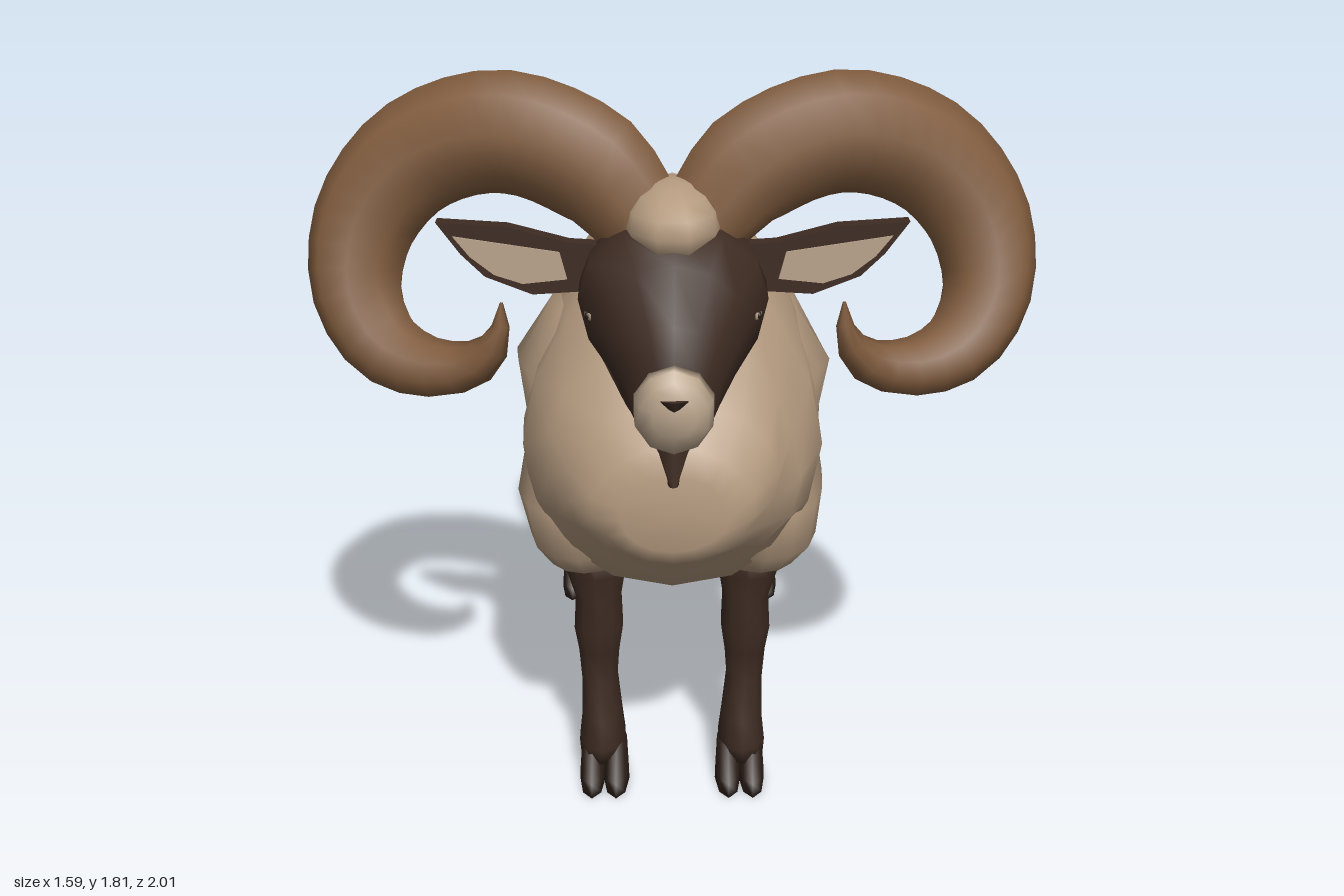
import * as THREE from 'three';

const mat = (name, color) => {
  const m = new THREE.MeshStandardMaterial({ color });
  m.name = name;
  return m;
};

// Closed skin over elliptical rings [x, y, z, halfX, half2, taper, slant], stacked along 'y' or 'z'.
function loft(rings, axis, n = 12, ripple = 0) {
  const pos = [], idx = [];
  rings.forEach(([x, y, z, a, b, t = 0, slant = 0], i) => {
    for (let j = 0; j < n; j++) {
      const ang = (j / n) * Math.PI * 2 + Math.PI / 2;
      const c = Math.cos(ang), s = Math.sin(ang);
      const k = 1 + ripple * Math.cos(ang * 4 + i * 2.1) * Math.abs(c);
      const px = x + a * c * (1 - t * s) * k;
      if (axis === 'z') pos.push(px, y + b * s, z + slant * s);
      else pos.push(px, y + slant * s, z - b * s * k);
    }
  });
  const last = (rings.length - 1) * n;
  for (let i = 0; i < rings.length - 1; i++) {
    for (let j = 0; j < n; j++) {
      const a = i * n + j, b = i * n + (j + 1) % n;
      idx.push(a, b, a + n, b, b + n, a + n);
    }
  }
  // end caps
  const c0 = pos.length / 3;
  pos.push(...rings[0].slice(0, 3), ...rings[rings.length - 1].slice(0, 3));
  for (let j = 0; j < n; j++) {
    const k = (j + 1) % n;
    idx.push(c0, k, j, c0 + 1, last + j, last + k);
  }
  const g = new THREE.BufferGeometry();
  g.setAttribute('position', new THREE.Float32BufferAttribute(pos, 3));
  g.setIndex(idx);
  g.computeVertexNormals();
  return g;
}

// Tube along points [x, y, z, radius], tapering with the radii.
function taperTube(points, segs, sides) {
  const curve = new THREE.CatmullRomCurve3(points.map(p => new THREE.Vector3(p[0], p[1], p[2])));
  const g = new THREE.TubeGeometry(curve, segs, 1, sides);
  const p = g.attributes.position, v = new THREE.Vector3();
  for (let i = 0; i <= segs; i++) {
    const u = i / segs, c = curve.getPointAt(u);
    const f = curve.getUtoTmapping(u) * (points.length - 1);
    const k = Math.min(Math.floor(f), points.length - 2);
    const r = THREE.MathUtils.lerp(points[k][3], points[k + 1][3], f - k);
    for (let j = 0; j <= sides; j++) {
      const q = i * (sides + 1) + j;
      v.fromBufferAttribute(p, q).sub(c).multiplyScalar(r).add(c);
      p.setXYZ(q, v.x, v.y, v.z);
    }
  }
  return g;
}

export function createModel() {
  const wool = mat('wool', 0xb59b80);
  const hide = mat('dark hide', 0x3d2b22);
  const hornMat = mat('horn', 0x7f5b3d);
  const hoofMat = mat('hoof', 0x30221b);
  const pale = mat('pale skin', 0xb9a48c);

  const model = new THREE.Group();
  const add = (name, geo, m) => {
    const mesh = new THREE.Mesh(geo, m);
    mesh.name = name;
    model.add(mesh);
    return mesh;
  };

  // Body and neck: z, top, bottom, half width, top taper
  const body = [
    [-0.8, 1.06, 0.87, 0.08, 0], [-0.76, 1.14, 0.79, 0.17, 0], [-0.68, 1.17, 0.72, 0.21, 0],
    [-0.57, 1.195, 0.66, 0.26, 0], [-0.45, 1.215, 0.62, 0.29, 0], [-0.3, 1.17, 0.59, 0.275, 0],
    [-0.17, 1.175, 0.555, 0.3, 0], [-0.05, 1.225, 0.545, 0.305, 0.05], [0.08, 1.31, 0.54, 0.285, 0.12],
    [0.2, 1.41, 0.56, 0.31, 0.22], [0.34, 1.52, 0.57, 0.34, 0.28], [0.46, 1.57, 0.575, 0.33, 0.28],
    [0.56, 1.48, 0.6, 0.32, 0.28], [0.63, 1.26, 0.67, 0.285, 0.12], [0.7, 1.12, 0.73, 0.235, 0],
    [0.755, 1.04, 0.76, 0.175, 0], [0.775, 0.98, 0.8, 0.12, 0],
  ].map(([z, t, b, w, k]) => [0, (t + b) / 2, z, w, (t - b) / 2, k]);
  add('body', loft(body, 'z', 18, 0.035), wool);

  // Tail
  add('tail', taperTube([
    [0, 1.06, -0.68, 0.09], [0, 1.03, -0.81, 0.09], [0, 0.975, -0.895, 0.11],
    [0, 0.87, -0.935, 0.078], [0, 0.77, -0.94, 0.01],
  ], 10, 10), wool);

  // Head, throat, muzzle and forehead tuft
  add('head', loft([
    [0, 1.38, 0.52, 0.15, 0.14, -0.1], [0, 1.35, 0.62, 0.195, 0.17, -0.2], [0, 1.315, 0.7, 0.195, 0.2, -0.25],
    [0, 1.275, 0.78, 0.145, 0.185, -0.25], [0, 1.225, 0.855, 0.105, 0.14, -0.1, 0.025],
    [0, 1.2, 0.905, 0.086, 0.107, 0, 0.042],
  ], 'z', 14), hide);
  add('throat', loft([
    [0, 0.96, 0.775, 0.01, 0.01], [0, 1.03, 0.715, 0.05, 0.055], [0, 1.12, 0.655, 0.11, 0.11],
    [0, 1.24, 0.62, 0.175, 0.13],
  ], 'y', 10), hide);
  add('muzzle', loft([
    [0, 1.2, 0.904, 0.086, 0.107, 0, 0.042], [0, 1.198, 0.935, 0.083, 0.1, 0, 0.022],
    [0, 1.198, 0.965, 0.072, 0.08, 0, 0.008], [0, 1.21, 0.988, 0.045, 0.045],
  ], 'z', 10), pale);
  const nose = add('nose', new THREE.ConeGeometry(1, 1, 6), hide);
  nose.scale.set(0.032, 0.03, 0.016);
  nose.rotation.z = Math.PI;
  nose.position.set(0, 1.232, 0.985);
  const tuft = add('foreheadTuft', new THREE.SphereGeometry(1, 10, 8), wool);
  tuft.scale.set(0.11, 0.092, 0.16);
  tuft.position.set(0, 1.505, 0.61);

  for (const s of [1, -1]) {
    const side = s > 0 ? 'left' : 'right';
    const mir = rings => rings.map(([x, ...rest]) => [s * x, ...rest]);

    // Curled horn
    add(side + 'Horn', taperTube(mir([
      [0.06, 1.49, 0.57, 0.1], [0.17, 1.61, 0.545, 0.13], [0.36, 1.675, 0.51, 0.133],
      [0.55, 1.615, 0.485, 0.127], [0.665, 1.48, 0.5, 0.117], [0.69, 1.33, 0.545, 0.1],
      [0.63, 1.22, 0.595, 0.085], [0.53, 1.182, 0.635, 0.068], [0.43, 1.2, 0.66, 0.052],
      [0.375, 1.26, 0.67, 0.03], [0.365, 1.34, 0.66, 0.003],
    ]), 28, 9), hornMat);

    // Ear with pale inside
    const outline = pts => new THREE.Shape(pts.map(([x, y]) => new THREE.Vector2(s * x, y)));
    const ear = new THREE.ExtrudeGeometry(outline([
      [0.14, 1.36], [0.3, 1.35], [0.4, 1.39], [0.45, 1.44], [0.5, 1.51], [0.35, 1.5], [0.22, 1.465], [0.14, 1.46],
    ]), { depth: 0.035, bevelEnabled: false });
    ear.translate(0, 0, 0.605);
    add(side + 'Ear', ear, hide);
    const inner = new THREE.ExtrudeGeometry(outline([
      [0.225, 1.385], [0.32, 1.375], [0.38, 1.395], [0.43, 1.435], [0.465, 1.48], [0.24, 1.445],
    ]), { depth: 0.005, bevelEnabled: false });
    inner.translate(0, 0, 0.639);
    add(side + 'EarInside', inner, pale);

    // Eye
    const eye = add(side + 'Eye', new THREE.SphereGeometry(1, 8, 6), pale);
    eye.scale.set(0.006, 0.011, 0.02);
    eye.position.set(s * 0.176, 1.335, 0.73);
    eye.rotation.y = -s * 0.5;
    const pupil = add(side + 'Pupil', new THREE.SphereGeometry(1, 8, 6), hoofMat);
    pupil.scale.set(0.006, 0.009, 0.01);
    pupil.position.set(s * 0.179, 1.335, 0.73);

    // Shoulder and thigh wool, with their tops sunk into the body
    add(side + 'Shoulder', loft(mir([
      [0.21, 0.6, 0.38, 0.1, 0.12], [0.22, 0.68, 0.4, 0.125, 0.19], [0.215, 0.79, 0.38, 0.152, 0.22],
      [0.2, 0.96, 0.38, 0.135, 0.2], [0.2, 1.12, 0.39, 0.165, 0.17], [0.14, 1.27, 0.42, 0.14, 0.14],
      [0.06, 1.4, 0.43, 0.1, 0.1],
    ]), 'y', 14, 0.04), wool);
    add(side + 'Thigh', loft(mir([
      [0.235, 0.56, -0.39, 0.06, 0.05, 0, -0.02], [0.225, 0.65, -0.43, 0.11, 0.14], [0.215, 0.8, -0.46, 0.135, 0.19],
      [0.2, 0.94, -0.47, 0.14, 0.19], [0.15, 1.07, -0.48, 0.13, 0.16], [0.06, 1.16, -0.48, 0.1, 0.1],
    ]), 'y', 14, 0.04), wool);

    // Legs
    add(side + 'FrontLeg', loft(mir([
      [0.18, 0.06, 0.44, 0.05, 0.06], [0.175, 0.1, 0.42, 0.06, 0.085], [0.175, 0.17, 0.42, 0.052, 0.07],
      [0.18, 0.27, 0.41, 0.046, 0.053], [0.18, 0.35, 0.412, 0.052, 0.052], [0.18, 0.42, 0.422, 0.062, 0.063],
      [0.18, 0.5, 0.405, 0.058, 0.068], [0.185, 0.57, 0.4, 0.075, 0.085], [0.195, 0.68, 0.4, 0.085, 0.09],
    ]), 'y', 10), hide);
    add(side + 'HindLeg', loft(mir([
      [0.26, 0.06, -0.56, 0.05, 0.055], [0.255, 0.1, -0.57, 0.06, 0.082], [0.25, 0.17, -0.6, 0.05, 0.062],
      [0.245, 0.3, -0.61, 0.043, 0.05], [0.235, 0.43, -0.625, 0.052, 0.077], [0.23, 0.5, -0.575, 0.06, 0.095],
      [0.22, 0.58, -0.525, 0.07, 0.1], [0.21, 0.7, -0.5, 0.08, 0.11],
    ]), 'y', 10), hide);

    // Cloven hooves
    for (const [name, x, z] of [['FrontHoof', 0.17, 0.47], ['HindHoof', 0.265, -0.525]]) {
      for (const t of [-0.03, 0.03]) {
        add(side + name, loft(mir([
          [x + t, 0, z, 0.032, 0.088], [x + t, 0.03, z - 0.005, 0.031, 0.08], [x + t, 0.1, z - 0.04, 0.026, 0.05],
        ]), 'y', 8), hoofMat);
      }
    }
  }
  return model;
}
